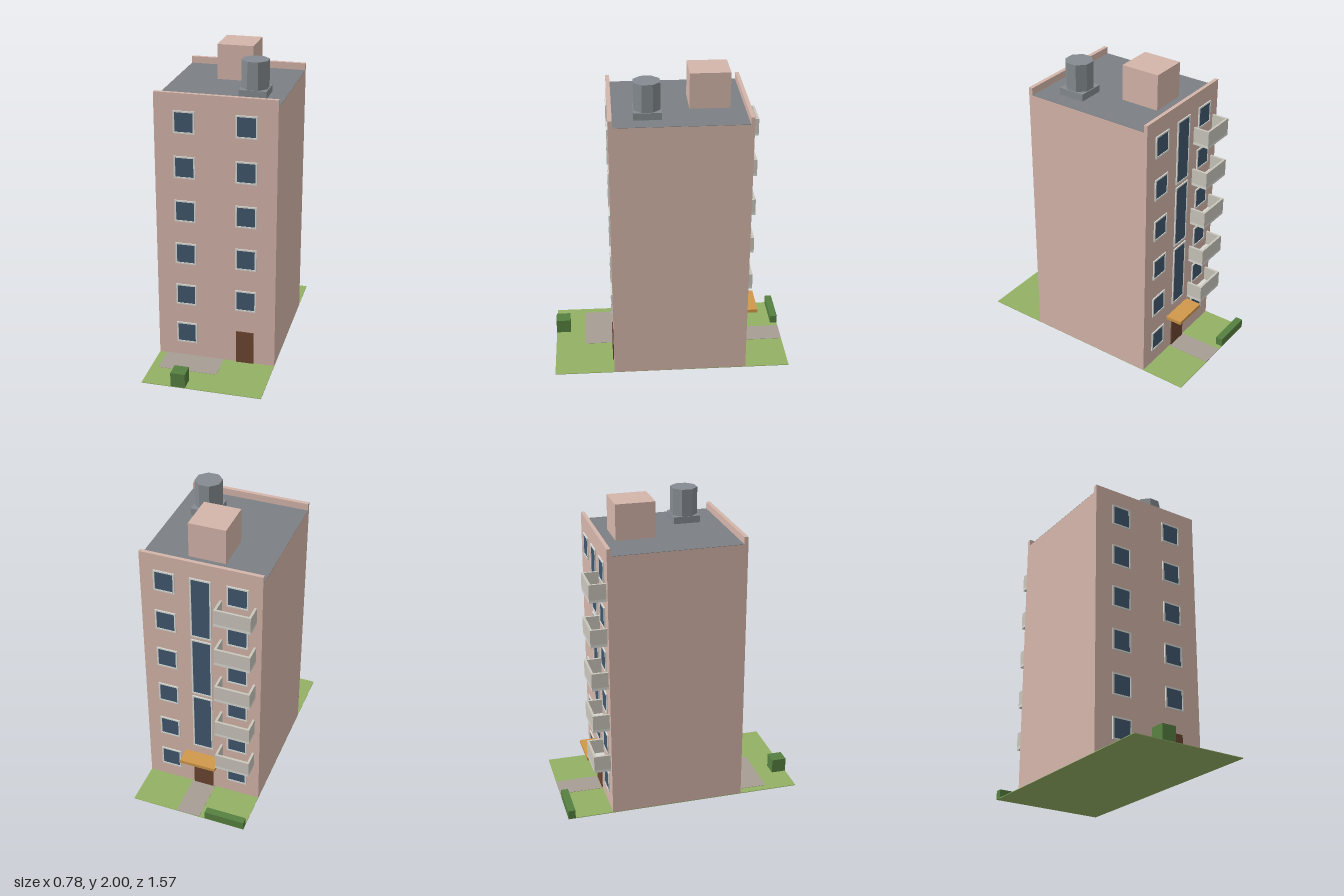
import * as THREE from 'three';

const COLORS = {
  wall: 0xd4b5aa, roof: 0x7c7f83, glass: 0x40566c, frame: 0xd9dbd5, door: 0x6b4531, tank: 0x848b90,
  grass: 0x93b064, path: 0xa69d94, hedge: 0x568040, canopy: 0xd0984a, balcony: 0xcac6bc, slab: 0xd8d8d2,
};
const mats = {};
const mat = (key) => (mats[key] ??= new THREE.MeshStandardMaterial({ color: COLORS[key], flatShading: true }));

function add(parent, name, geometry, key) {
  const mesh = new THREE.Mesh(geometry, mat(key));
  mesh.name = name;
  parent.add(mesh);
  return mesh;
}

// Box given by its limits on each axis
function box(parent, name, key, [x0, x1], [y0, y1], [z0, z1]) {
  const mesh = add(parent, name, new THREE.BoxGeometry(x1 - x0, y1 - y0, z1 - z0), key);
  mesh.position.set((x0 + x1) / 2, (y0 + y1) / 2, (z0 + z1) / 2);
  return mesh;
}

// Frame with a hole and a slightly recessed pane, facing +z
function createWindow(name, w, h, border = 0.01) {
  const group = new THREE.Group();
  group.name = name;
  const rect = (C, a, b) => new C([[-a, -b], [a, -b], [a, b], [-a, b]].map(([x, y]) => new THREE.Vector2(x, y)));
  const shape = rect(THREE.Shape, w / 2, h / 2);
  shape.holes.push(rect(THREE.Path, w / 2 - border, h / 2 - border));
  add(group, 'windowFrame', new THREE.ExtrudeGeometry(shape, { depth: 0.008, bevelEnabled: false }), 'frame');
  const a = w / 2 - border, b = h / 2 - border;
  box(group, 'windowPane', 'glass', [-a, a], [-b, b], [-0.004, 0.004]);
  return group;
}

export function createModel() {
  const model = new THREE.Group();
  model.name = 'apartmentBlock';
  const W = 0.39, FRONT = 0.39, BACK = -0.49, ROOF = 1.77;

  // Plot with paths and hedges
  box(model, 'lawn', 'grass', [-W, W], [0, 0.004], [-0.785, 0.785]);
  box(model, 'frontPath', 'path', [-0.34, 0.05], [0.002, 0.006], [FRONT, 0.585]);
  box(model, 'backPath', 'path', [-0.08, 0.08], [0.002, 0.006], [-0.785, BACK]);
  box(model, 'frontBush', 'hedge', [-0.197, -0.102], [0.001, 0.1], [0.688, 0.785]);
  box(model, 'backHedge', 'hedge', [-W, -0.12], [0.001, 0.06], [-0.785, -0.738]);

  // Main block, roof surface and parapets
  box(model, 'walls', 'wall', [-W, W], [0.002, ROOF - 0.002], [BACK, FRONT]);
  box(model, 'roof', 'roof', [-W, W], [ROOF - 0.002, ROOF], [BACK + 0.024, FRONT - 0.026]);
  box(model, 'frontParapet', 'wall', [-W, W], [ROOF - 0.002, 1.815], [FRONT - 0.026, FRONT]);
  box(model, 'backParapet', 'wall', [-W, W], [ROOF - 0.002, 1.815], [BACK, BACK + 0.024]);

  // Rooftop stair house and eight-sided water tank
  box(model, 'stairHouse', 'wall', [-0.12, 0.118], [ROOF, 2], [-0.375, -0.12]);
  box(model, 'tankBase', 'tank', [0.108, 0.282], [ROOF, 1.815], [0.06, 0.235]);
  const tank = add(model, 'waterTank', new THREE.CylinderGeometry(0.088, 0.088, 0.178, 8, 1, false, Math.PI / 8), 'tank');
  tank.position.set(0.193, 1.902, 0.148);

  const place = (win, x, y, back) => {
    win.position.set(x, y, back ? BACK : FRONT);
    if (back) win.rotation.y = Math.PI;
    model.add(win);
  };

  for (let floor = 0; floor < 6; floor++) {
    const y = floor === 0 ? 0.177 : 0.163 + floor * 0.294;
    // Windows on both facades; the front door replaces one
    for (const x of [-0.198, 0.196]) {
      if (floor > 0 || x < 0) place(createWindow('frontWindow', 0.137, 0.145), x, y, false);
      place(createWindow('backWindow', 0.137, 0.145), x * 1.19, y, true);
    }
    if (floor === 0) continue;

    // Balcony: slab with a parapet on three sides
    const balcony = new THREE.Group();
    balcony.name = 'balcony';
    balcony.position.y = floor * 0.294;
    model.add(balcony);
    const x0 = -0.355, x1 = -0.122, z0 = -0.598, t = 0.015;
    box(balcony, 'balconyFloor', 'slab', [x0, x1], [0.002, 0.02], [z0, BACK]);
    box(balcony, 'balconyFront', 'balcony', [x0, x1], [0.02, 0.118], [z0, z0 + t]);
    box(balcony, 'balconySide', 'balcony', [x0, x0 + t], [0.02, 0.118], [z0 + t, BACK]);
    box(balcony, 'balconySide', 'balcony', [x1 - t, x1], [0.02, 0.118], [z0 + t, BACK]);
  }

  // Tall stairwell windows on the back
  for (let i = 0; i < 3; i++) place(createWindow('stairwellWindow', 0.137, 0.437), 0, 1.487 - i * 0.46, true);

  // Doors and entrance canopy
  box(model, 'frontDoor', 'door', [0.135, 0.25], [0.004, 0.23], [FRONT - 0.004, FRONT + 0.007]);
  box(model, 'backDoor', 'door', [-0.068, 0.068], [0.004, 0.243], [BACK - 0.007, BACK + 0.004]);
  box(model, 'entranceCanopy', 'canopy', [-0.12, 0.125], [0.258, 0.281], [-0.6, BACK]);

  return model;
}
